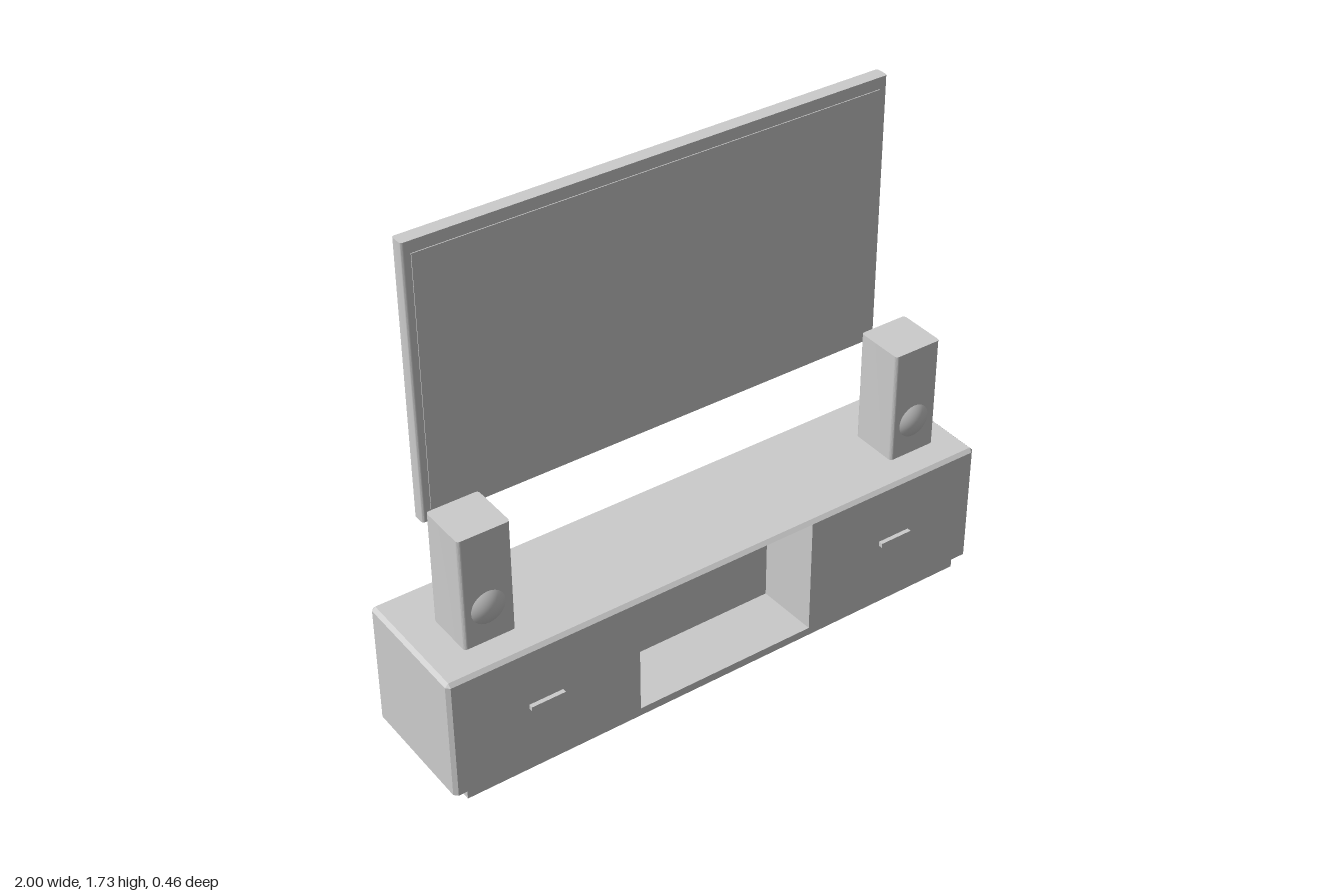
import * as THREE from 'three';
import { toCreasedNormals } from 'three/addons/utils/BufferGeometryUtils.js';

const grey = new THREE.MeshStandardMaterial({ color: 0xcccccc, side: THREE.DoubleSide });
grey.name = 'plain grey';

function add(group, name, geometry, x = 0, y = 0, z = 0) {
  const mesh = new THREE.Mesh(geometry, grey);
  mesh.name = name;
  mesh.position.set(x, y, z);
  group.add(mesh);
  return mesh;
}

// Flat sheets from four-corner faces, counter-clockwise from outside
function sheets(quads) {
  const p = [];
  for (const [a, b, c, d] of quads) p.push(...a, ...b, ...c, ...a, ...c, ...d);
  const g = new THREE.BufferGeometry();
  g.setAttribute('position', new THREE.Float32BufferAttribute(p, 3));
  g.computeVertexNormals();
  return g;
}

// Walls between two matching closed loops of points
function loft(from, to) {
  return from.map((a, i) => {
    const j = (i + 1) % from.length;
    return [a, from[j], to[j], to[i]];
  });
}

// Upright block with rounded vertical edges, standing on y = 0
function post(w, h, d, r) {
  const x = w / 2, y = d / 2, s = new THREE.Shape();
  s.moveTo(-x + r, -y);
  s.lineTo(x - r, -y).quadraticCurveTo(x, -y, x, -y + r);
  s.lineTo(x, y - r).quadraticCurveTo(x, y, x - r, y);
  s.lineTo(-x + r, y).quadraticCurveTo(-x, y, -x, y - r);
  s.lineTo(-x, -y + r).quadraticCurveTo(-x, -y, -x + r, -y);
  const g = new THREE.ExtrudeGeometry(s, { depth: h, bevelEnabled: false, curveSegments: 4 });
  g.rotateX(-Math.PI / 2);
  return toCreasedNormals(g, 0.6);
}

const rect = (x, y0, y1, z) => [[-x, y0, z], [x, y0, z], [x, y1, z], [-x, y1, z]];

// Cabinet shell: open at the back and underneath, with eased edges
function cabinetShell() {
  const X = 1, F = 0.217, B = -0.23, T = 0.48, L = 0.045, e = 0.012;
  // plan outline, counter-clockwise seen from above
  const plan = (i, y) => [
    [-X + e, y, F - i], [X - e, y, F - i], [X - i, y, F - e], [X - i, y, B + e],
    [X - e, y, B + i], [-X + e, y, B + i], [-X + i, y, B + e], [-X + i, y, F - e],
  ];
  const low = plan(0, L), mid = plan(0, T - e), top = plan(e, T);
  // skip the front (0) and the open back (4)
  const walls = loft(low, mid).filter((q, i) => i !== 0 && i !== 4);
  const lid = [[-X + e, T, F - e], [X - e, T, F - e], [X - e, T, B + e], [-X + e, T, B + e]];
  return sheets([...walls, ...loft(mid, top), lid]);
}

export function createModel() {
  const model = new THREE.Group();
  model.name = 'mediaUnit';

  const cabinet = new THREE.Group();
  cabinet.name = 'cabinet';
  model.add(cabinet);
  add(cabinet, 'plinth', new THREE.BoxGeometry(1.9, 0.04, 0.408), 0, 0.02, -0.002);
  add(cabinet, 'cabinetShell', cabinetShell());

  // Tapered niche between the drawers
  const mouth = rect(0.33, 0.045, 0.468, 0.217);
  const rear = rect(0.3, 0.075, 0.44, 0.025);
  add(cabinet, 'niche', sheets([...loft(mouth, rear).map(q => q.reverse()), rear]));

  for (const side of [-1, 1]) {
    const label = side > 0 ? 'left' : 'right';
    // Drawer front and handle
    add(cabinet, label + 'DrawerFront', new THREE.PlaneGeometry(0.658, 0.423), side * 0.659, 0.2565, 0.217);
    add(cabinet, label + 'Handle', new THREE.BoxGeometry(0.12, 0.016, 0.015), side * 0.67, 0.263, 0.2245);

    // Speaker with a domed cone
    const speaker = new THREE.Group();
    speaker.name = label + 'Speaker';
    speaker.position.set(side * 0.8, 0, 0);
    model.add(speaker);
    add(speaker, 'speakerBox', post(0.176, 0.398, 0.174, 0.012), 0, 0.502, 0.046);
    const cone = new THREE.SphereGeometry(0.1, 28, 8, 0, Math.PI * 2, 0, 0.6435);
    cone.rotateX(Math.PI / 2);
    add(speaker, 'speakerCone', cone, 0, 0.625, 0.052);
  }

  // Television with a slightly raised screen and an open wall bracket
  const tv = new THREE.Group();
  tv.name = 'television';
  model.add(tv);
  add(tv, 'televisionBody', post(1.695, 0.95, 0.048, 0.01), 0, 0.78, -0.164);
  add(tv, 'screen', new THREE.BoxGeometry(1.635, 0.88, 0.004), 0, 1.25, -0.139);
  add(tv, 'wallBracket', sheets(loft(rect(0.148, 1.155, 1.35, -0.23), rect(0.148, 1.155, 1.35, -0.188))
    .map(q => q.reverse())));

  return model;
}
